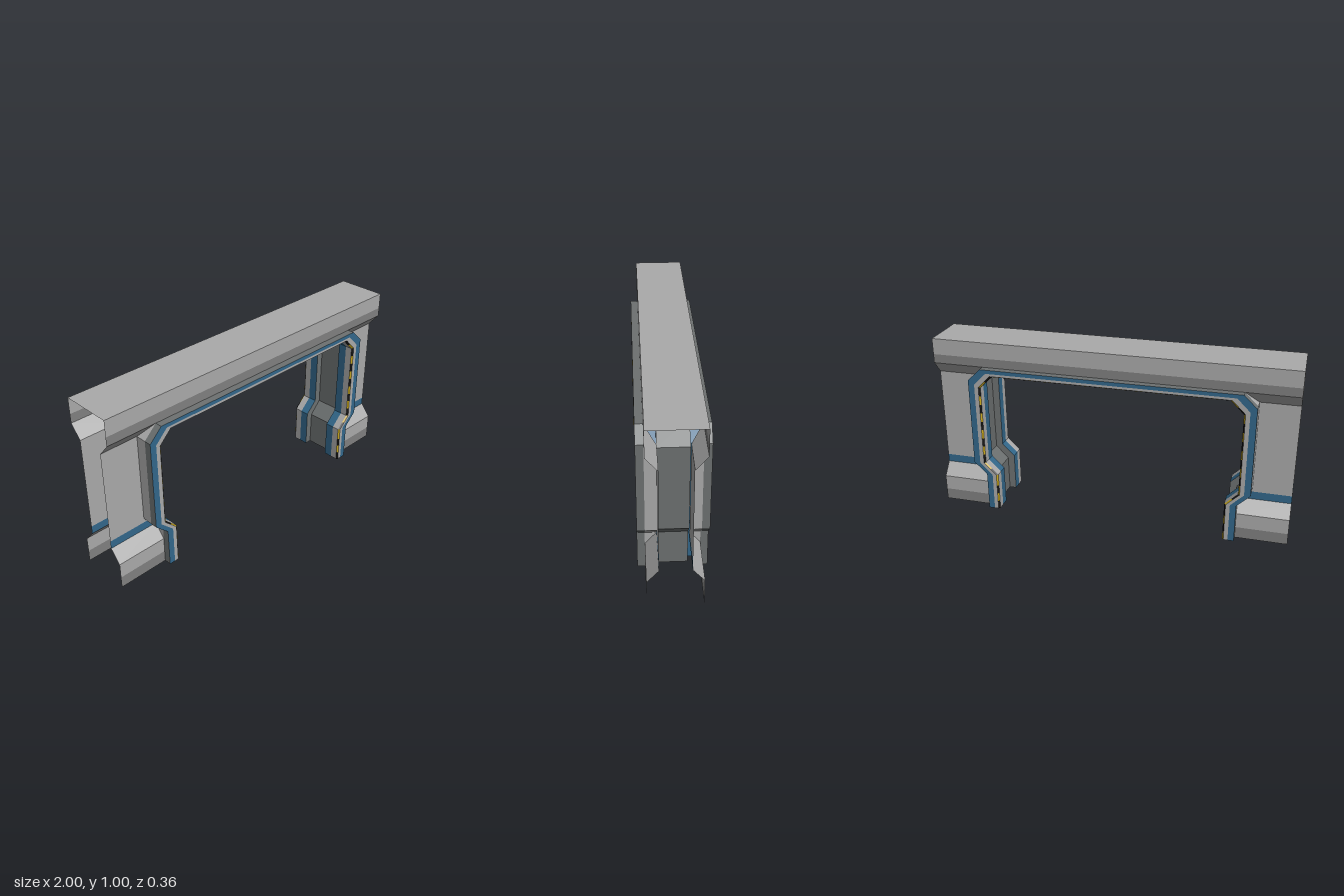
import * as THREE from 'three';

const mat = (name, color) => {
  const m = new THREE.MeshStandardMaterial({ color, side: THREE.DoubleSide, flatShading: true });
  m.name = name;
  return m;
};
const panelGray = mat('panel gray', 0xaaaaaa);
const lowerGray = mat('lower band gray', 0x808080);
const trimGray = mat('dark trim gray', 0x6d7171);
const blue = mat('blue trim', 0x32678a);
const yellow = mat('hazard yellow', 0xc9a81c);
const black = mat('hazard black', 0x151515);

// Mesh from a list of four-cornered faces
function quads(name, material, faces) {
  const p = [];
  for (const [a, b, c, d] of faces) p.push(...a, ...b, ...c, ...a, ...c, ...d);
  const g = new THREE.BufferGeometry();
  g.setAttribute('position', new THREE.Float32BufferAttribute(p, 3));
  g.computeVertexNormals();
  const m = new THREE.Mesh(g, material);
  m.name = name;
  return m;
}

// Arch outlines [x, y]: one leg, then mirrored over the top
const arch = (half) => [...half, ...half.map(([x, y]) => [-x, y]).reverse()];
const outerHalf = [[0.715, 0], [0.715, 0.15], [0.715, 0.22], [0.787, 0.29], [0.787, 0.79], [0.715, 0.86]];
const outer = arch(outerHalf);
const inner = arch([[0.65, 0], [0.65, 0.15], [0.65, 0.22], [0.72, 0.29], [0.72, 0.75], [0.65, 0.82]]);
const centre = arch([[0.69, 0], [0.69, 0.14], [0.69, 0.2], [0.76, 0.275], [0.76, 0.755], [0.665, 0.85]]);
const mix = (a, b, t) => a.map((v, i) => v + (b[i] - v) * t);
const between = (A, B, t) => A.map((a, i) => mix(a, B[i], t));

const HEAD_Z = 0.14, WALL_Z = 0.08, FRAME_Z = 0.18;

// Wall profile: height, depth, and colour of the strip above
const profile = [
  [0, HEAD_Z, lowerGray], [0.065, HEAD_Z, panelGray], [0.15, HEAD_Z, panelGray],
  [0.22, WALL_Z, blue], [0.265, WALL_Z, panelGray], [0.29, WALL_Z, panelGray],
  [0.79, WALL_Z, panelGray], [0.86, HEAD_Z, null],
];

// Linear lookup in rows, from column k to column v
function lookup(rows, k, v, at) {
  for (let i = 0; i < rows.length - 1; i++) {
    const a = rows[i], b = rows[i + 1];
    if (at <= b[k]) return a[v] + (b[v] - a[v]) * (at - a[k]) / (b[k] - a[k]);
  }
  return rows[rows.length - 1][v];
}
const wallZ = (y) => lookup(profile, 0, 1, y);
const outerX = (y) => lookup(outerHalf, 1, 0, y);

// Faces between two outlines, each at its own depth (number or function of y)
function bandFaces(A, zA, B, zB, s) {
  const at = ([x, y], z) => [x, y, s * (typeof z === 'function' ? z(y) : z)];
  const faces = [];
  for (let i = 0; i < A.length - 1; i++) {
    const f = [at(A[i], zA), at(A[i + 1], zA), at(B[i + 1], zB), at(B[i], zB)];
    faces.push(s > 0 ? f : f.reverse());
  }
  return faces;
}

function buildFrame(s) {
  const g = new THREE.Group();
  g.name = s > 0 ? 'frontFrame' : 'backFrame';
  const middle = between(outer, inner, 0.52);
  const bevel = between(inner, outer, 0.13);
  const add = (name, m, ...args) => g.add(quads(name, m, bandFaces(...args, s)));
  add('frameReturn', panelGray, outer, wallZ, outer, HEAD_Z);
  add('frameOuterSide', trimGray, outer, HEAD_Z, outer, FRAME_Z);
  add('frameBlueFace', blue, outer, FRAME_Z, middle, FRAME_Z);
  add('frameGrayFace', panelGray, middle, FRAME_Z, bevel, FRAME_Z);
  add('frameInnerSide', panelGray, inner, 0.171, inner, 0.13);
  add('frameInnerBlue', blue, inner, 0.13, inner, WALL_Z);
  add('innerStep', trimGray, inner, WALL_Z, centre, WALL_Z);

  // Hazard dashes along the bevelled inner edge
  const dashes = [[], []];
  let count = 0;
  for (let i = 0; i < inner.length - 1; i++) {
    const len = Math.hypot(inner[i + 1][0] - inner[i][0], inner[i + 1][1] - inner[i][1]);
    const n = Math.max(1, Math.round(len / 0.05));
    for (let j = 0; j < n; j++) {
      const piece = (P) => [mix(P[i], P[i + 1], j / n), mix(P[i], P[i + 1], (j + 1) / n)];
      dashes[count++ % 2].push(...bandFaces(piece(bevel), FRAME_Z, piece(inner), 0.171, s));
    }
  }
  g.add(quads('blackDashes', black, dashes[0]), quads('yellowDashes', yellow, dashes[1]));
  return g;
}

function buildWall(s) {
  const g = new THREE.Group();
  g.name = s > 0 ? 'frontWall' : 'backWall';
  const strip = (xa0, xb0, y0, z0, xa1, xb1, y1, z1) => {
    const f = [[xa0, y0, s * z0], [xb0, y0, s * z0], [xb1, y1, s * z1], [xa1, y1, s * z1]];
    return s > 0 ? f : f.reverse();
  };
  // Pillars either side of the opening
  for (let i = 0; i < profile.length - 1; i++) {
    const [y0, z0, m] = profile[i], [y1, z1] = profile[i + 1];
    const x0 = outerX(y0), x1 = outerX(y1);
    g.add(quads('pillarStrip', m, [
      strip(x0, 1, y0, z0, x1, 1, y1, z1),
      strip(-1, -x0, y0, z0, -1, -x1, y1, z1),
    ]));
  }
  // Header across the top
  g.add(quads('headerLowerBand', lowerGray, [strip(-1, 1, 0.86, HEAD_Z, -1, 1, 0.91, HEAD_Z)]));
  g.add(quads('headerPanel', panelGray, [strip(-1, 1, 0.91, HEAD_Z, -1, 1, 1, HEAD_Z)]));
  return g;
}

export function createModel() {
  const model = new THREE.Group();
  model.name = 'doorwayArch';
  for (const s of [1, -1]) model.add(buildWall(s), buildFrame(s));
  model.add(quads('centreLining', trimGray, bandFaces(centre, WALL_Z, centre, -WALL_Z, 1)));
  model.add(quads('topPlate', panelGray, [
    [[-1, 1, HEAD_Z], [1, 1, HEAD_Z], [1, 1, -HEAD_Z], [-1, 1, -HEAD_Z]],
  ]));
  return model;
}
